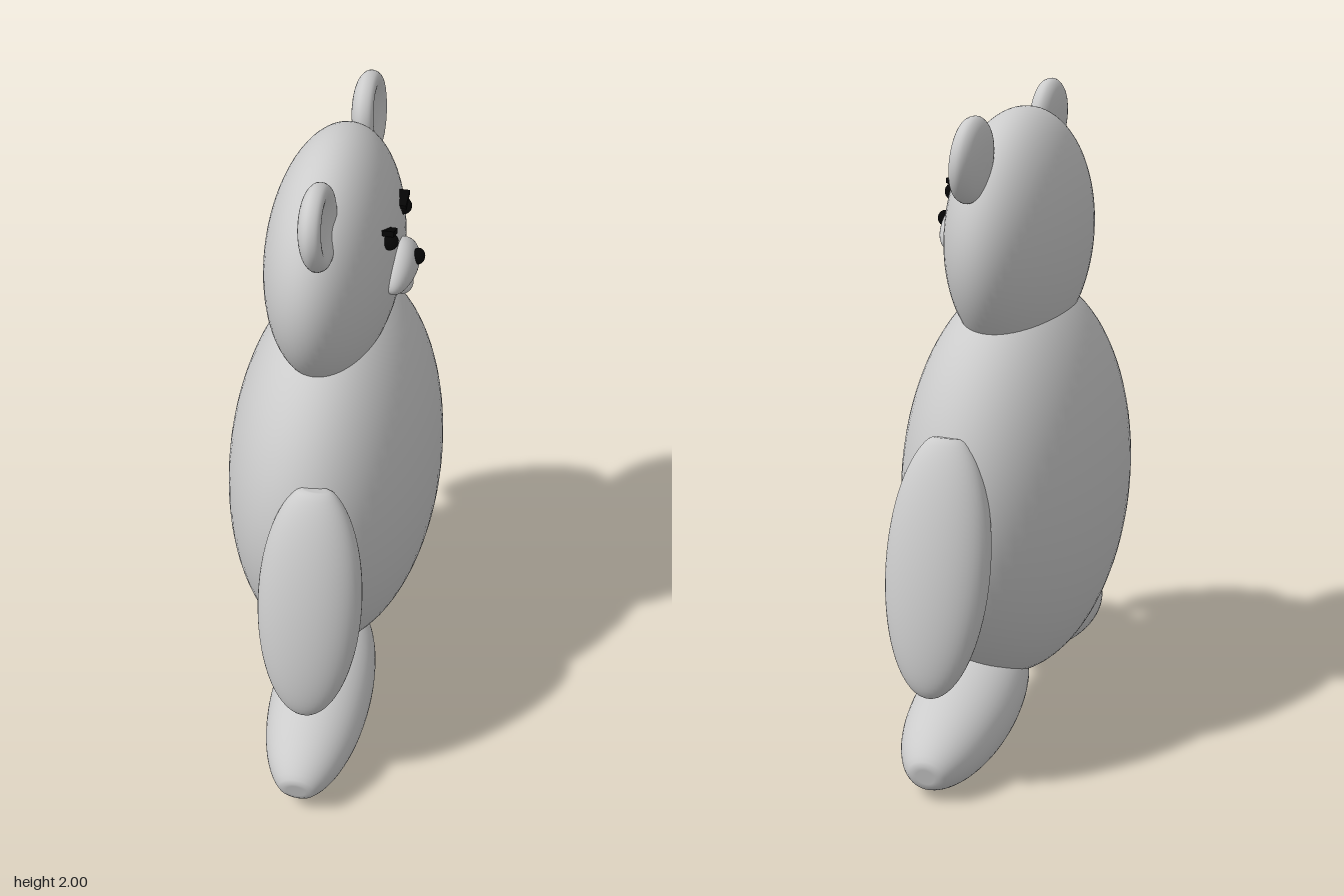
import * as THREE from 'three';
import { mergeVertices } from 'three/addons/utils/BufferGeometryUtils.js';

const grey = new THREE.MeshStandardMaterial({ color: 0xcccccc });
const black = new THREE.MeshStandardMaterial({ color: 0x050505 });
const MID = -0.043; // the bear faces +x; its middle plane lies at this z

// Unit sphere, optionally reshaped by a rule, then scaled to the given radii
function blob(rx, ry, rz, rule, segments = 48) {
  const geo = new THREE.SphereGeometry(1, segments, Math.round(segments * 0.7));
  if (rule) {
    const p = geo.attributes.position;
    const v = new THREE.Vector3();
    for (let i = 0; i < p.count; i++) {
      v.fromBufferAttribute(p, i);
      rule(v);
      p.setXYZ(i, v.x, v.y, v.z);
    }
  }
  geo.scale(rx, ry, rz);
  if (!rule) return geo;
  // weld the seam so that the recomputed normals are smooth
  geo.deleteAttribute('uv');
  geo.deleteAttribute('normal');
  const welded = mergeVertices(geo, 1e-5);
  welded.computeVertexNormals();
  return welded;
}

// Round disc with a shallow dish on its front, axis along +x
function earGeometry() {
  const profile = new THREE.SplineCurve([
    [0, -0.04], [0.06, -0.035], [0.105, -0.02], [0.126, 0.005],
    [0.118, 0.032], [0.095, 0.04], [0.05, 0.026], [0, 0.02],
  ].map(([r, h]) => new THREE.Vector2(r, h)));
  const points = profile.getPoints(28);
  points.forEach((q) => { q.x = Math.max(0, q.x); });
  const geo = new THREE.LatheGeometry(points, 40);
  geo.rotateZ(-Math.PI / 2);
  return geo;
}

export function createModel() {
  const bear = new THREE.Group();
  bear.name = 'bear';
  const add = (name, geometry, x, y, z, material = grey) => {
    const mesh = new THREE.Mesh(geometry, material);
    mesh.name = name;
    mesh.position.set(x, y, z);
    bear.add(mesh);
    return mesh;
  };

  // Body and head
  add('body', blob(0.33, 0.64, 0.57, null, 64), 0, 0.8, MID - 0.005);
  add('head', blob(0.2, 0.38, 0.41, null, 64), -0.005, 1.58, MID);

  // Muzzle: wider low down, with a raised middle of the lower edge
  const muzzle = blob(0.055, 0.077, 0.118, (v) => {
    const lift = v.y < 0 ? 0.25 * v.y * (1 - v.z * v.z) : 0;
    v.z *= 1 - 0.3 * v.y;
    v.y -= lift;
  });
  add('muzzle', muzzle, 0.195, 1.573, -0.029);
  add('lowerLip', blob(0.03, 0.026, 0.046), 0.205, 1.505, -0.028);
  add('nose', blob(0.02, 0.024, 0.026, null, 24), 0.248, 1.603, -0.032, black);

  const bluntEnd = (v) => { v.y = Math.min(v.y, 0.95); };
  const arm = blob(0.16, 0.395, 0.093, bluntEnd);
  const leg = blob(0.16, 0.385, 0.14, bluntEnd);
  const ear = earGeometry();
  const eye = blob(0.026, 0.026, 0.025, null, 24);
  const brow = new THREE.BoxGeometry(0.04, 0.016, 0.062);

  // Paired parts: s = 1 is the bear's right side (+z)
  for (const s of [1, -1]) {
    const side = s > 0 ? 'right' : 'left';

    const armMesh = add(side + 'Arm', arm, 0.048, 0.708, MID + s * 0.601);
    armMesh.rotation.x = -s * 0.239;

    // Legs splay outwards, toes a little lower than hips
    const legMesh = add(side + 'Leg', leg, 0.048, s > 0 ? 0.168 : 0.153, -0.003 + s * 0.41);
    legMesh.rotation.x = s * (Math.PI / 2 + 0.19);

    const earMesh = add(side + 'Ear', ear, 0.012, s > 0 ? 1.871 : 1.861, -0.0515 + s * 0.3535);
    earMesh.rotation.z = 0.08;

    add(side + 'Eye', eye, 0.181, 1.709, -0.029 + s * 0.103, black);

    // Frowning brows, inner ends lower
    const browMesh = add(side + 'Brow', brow, 0.176, 1.736, -0.029 + s * 0.095, black);
    browMesh.rotation.x = -s * 0.35;
  }
  return bear;
}
